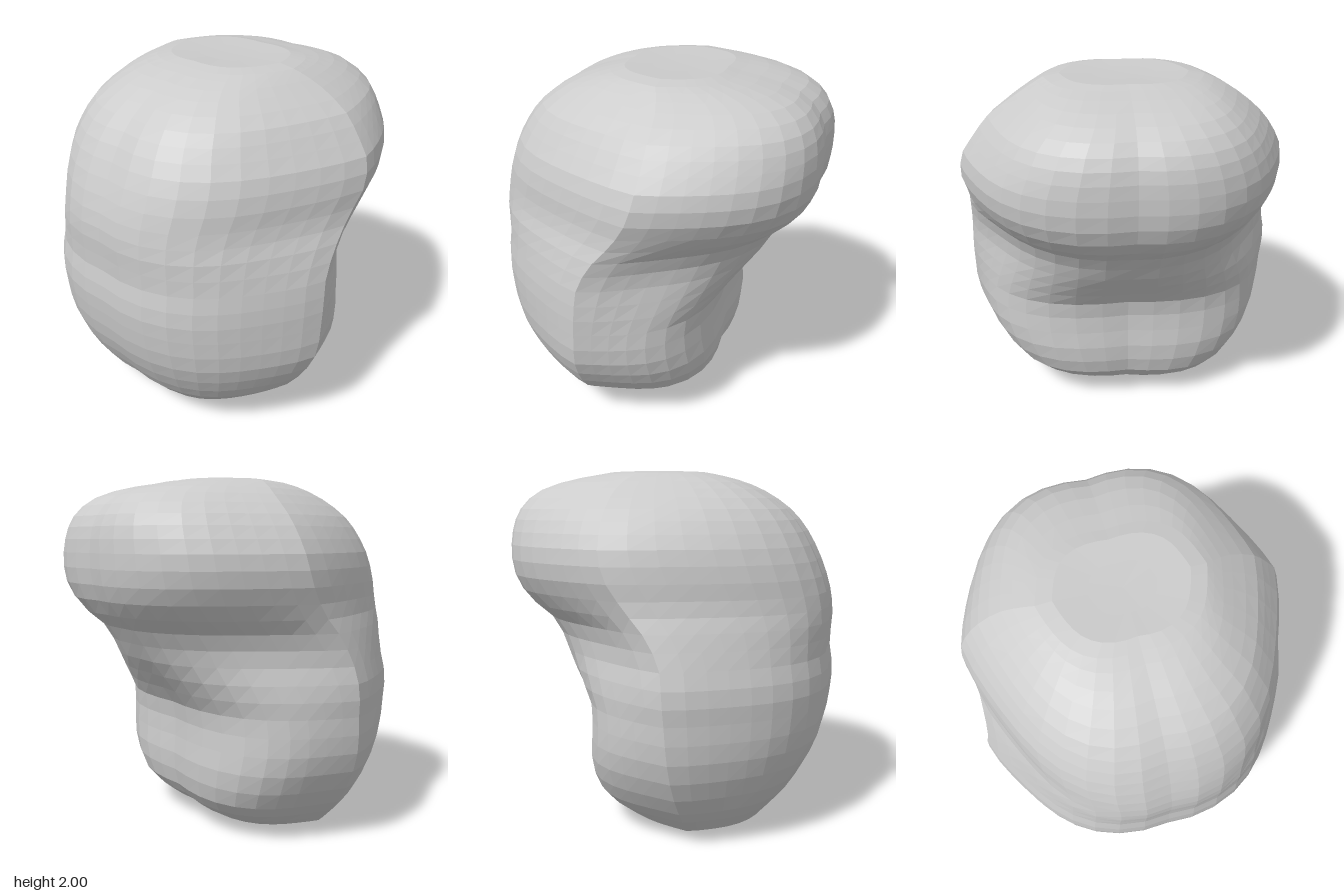
import * as THREE from 'three';

// Horizontal sections: y, xMin, xMax, x of greatest depth, zBack, zFront,
// squareness of the +x half, squareness of the -x half
const SECTIONS = [
  [0.03, -0.44, 0.06, -0.22, -0.46, 0.42, 2.4, 2.3],
  [0.06, -0.56, 0.18, -0.22, -0.57, 0.52, 2.5, 2.2],
  [0.12, -0.62, 0.28, -0.22, -0.64, 0.62, 2.6, 2.1],
  [0.22, -0.71, 0.37, -0.22, -0.74, 0.74, 2.7, 2.0],
  [0.38, -0.81, 0.40, -0.21, -0.85, 0.85, 2.7, 1.9],
  [0.55, -0.88, 0.39, -0.20, -0.91, 0.92, 2.6, 1.85],
  [0.72, -0.91, 0.40, -0.19, -0.92, 0.93, 2.4, 1.85],
  [0.87, -0.92, 0.51, -0.18, -0.93, 0.93, 2.0, 1.85],
  [1.02, -0.90, 0.63, -0.16, -0.90, 0.92, 1.7, 1.85],
  [1.17, -0.91, 0.72, -0.08, -0.88, 0.91, 1.65, 1.85],
  [1.30, -0.90, 0.84, 0.03, -0.87, 0.90, 1.95, 1.85],
  [1.44, -0.86, 0.90, 0.12, -0.89, 0.92, 2.1, 1.9],
  [1.58, -0.80, 0.91, 0.16, -0.88, 0.90, 2.15, 1.95],
  [1.70, -0.73, 0.90, 0.17, -0.82, 0.82, 2.2, 2.0],
  [1.80, -0.64, 0.86, 0.17, -0.74, 0.74, 2.3, 2.1],
  [1.89, -0.51, 0.77, 0.16, -0.63, 0.61, 2.4, 2.2],
  [1.95, -0.38, 0.61, 0.13, -0.53, 0.51, 2.5, 2.3],
  [1.985, -0.26, 0.42, 0.10, -0.44, 0.44, 2.5, 2.3],
];
const SEGMENTS = 40;
const ROWS = 28;

// Smooth blend of the sections at t in 0..1
function sectionAt(t) {
  const f = t * (SECTIONS.length - 1);
  const i = Math.min(Math.floor(f), SECTIONS.length - 2), u = f - i;
  const at = (k) => SECTIONS[THREE.MathUtils.clamp(k, 0, SECTIONS.length - 1)];
  const [a, b, c, d] = [at(i - 1), at(i), at(i + 1), at(i + 2)];
  return b.map((p, k) => p + 0.5 * u * (c[k] - a[k]
    + u * (2 * a[k] - 5 * p + 4 * c[k] - d[k] + u * (3 * (p - c[k]) + d[k] - a[k]))));
}

// Point on a section: two superellipse halves joined at the greatest depth,
// with flattened sides and chamfered diagonals
function ringPoint([y, x0, x1, cx, z0, z1, nRight, nLeft], angle) {
  const c = Math.cos(angle), s = Math.sin(angle);
  const n = c > 0 ? nRight : nLeft;
  const chamfer = 1 + 0.045 * Math.sin(4 * Math.atan2(Math.abs(s), Math.abs(c)));
  const r = chamfer * Math.pow(Math.abs(c) ** n + Math.abs(s) ** n, -1 / n);
  const x = cx + c * r * (c > 0 ? x1 - cx : cx - x0);
  const z = s * r * (s > 0 ? z1 : -z0);
  // The underside sits a little lower at the back
  return [x, y + 0.05 * z * Math.max(0, 1 - y / 0.5), z];
}

function createRockGeometry() {
  const positions = [], index = [];
  const addRing = (section, scale, dy) => {
    const mid = (section[1] + section[2]) / 2;
    for (let j = 0; j < SEGMENTS; j++) {
      const [x, y, z] = ringPoint(section, (j / SEGMENTS) * Math.PI * 2);
      positions.push(mid + (x - mid) * scale, y + dy, z * scale);
    }
  };
  const first = SECTIONS[0], last = SECTIONS[SECTIONS.length - 1];
  // Underside, body and crown rings from bottom to top
  addRing(first, 0.45, 0.02);
  addRing(first, 0.85, -0.007);
  for (let i = 0; i <= ROWS; i++) addRing(sectionAt(i / ROWS), 1, 0);
  addRing(last, 0.8, 0.015);
  addRing(last, 0.4, 0.008);
  const rings = ROWS + 5;
  for (let i = 0; i < rings - 1; i++) {
    for (let j = 0; j < SEGMENTS; j++) {
      const a = i * SEGMENTS + j, b = i * SEGMENTS + ((j + 1) % SEGMENTS);
      const c = a + SEGMENTS, d = b + SEGMENTS;
      index.push(a, c, b, b, c, d);
    }
  }
  // Close both ends
  const bottom = positions.length / 3, top = bottom + 1;
  positions.push((first[1] + first[2]) / 2, 0.055, 0, (last[1] + last[2]) / 2, 1.99, 0);
  const lastRing = (rings - 1) * SEGMENTS;
  for (let j = 0; j < SEGMENTS; j++) {
    const k = (j + 1) % SEGMENTS;
    index.push(bottom, j, k, top, lastRing + k, lastRing + j);
  }
  const geometry = new THREE.BufferGeometry();
  geometry.setAttribute('position', new THREE.Float32BufferAttribute(positions, 3));
  geometry.setIndex(index);
  geometry.computeVertexNormals();
  return geometry;
}

export function createModel() {
  const group = new THREE.Group();
  group.name = 'boulder';
  const material = new THREE.MeshStandardMaterial({ color: 0xcccccc, flatShading: true });
  const rock = new THREE.Mesh(createRockGeometry(), material);
  rock.name = 'overhangingRock';
  group.add(rock);
  return group;
}
